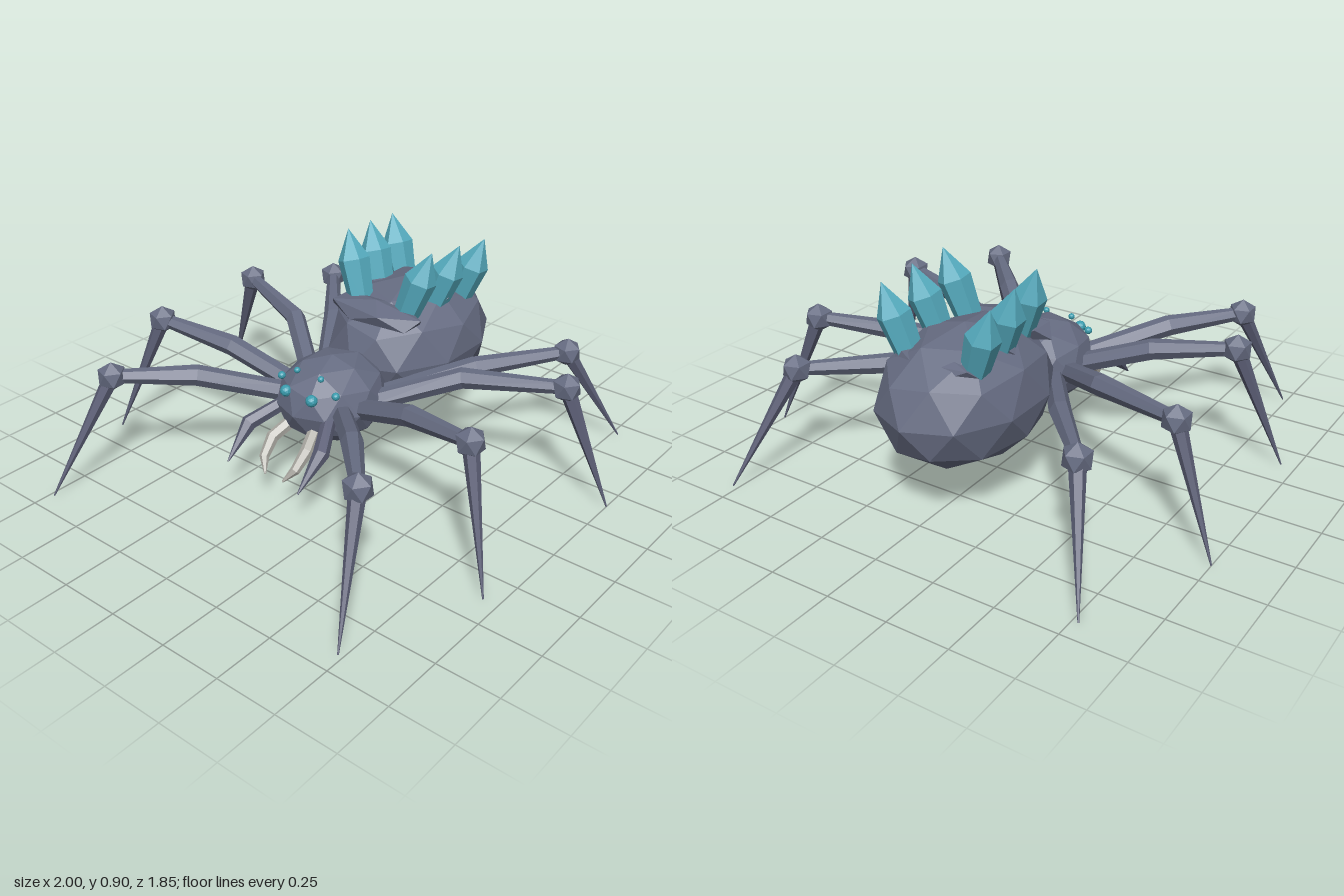
import * as THREE from 'three';

const mat = (name, color, flatShading = true) => {
  const m = new THREE.MeshStandardMaterial({ color, flatShading });
  m.name = name;
  return m;
};

// Faceted ball with a corner at the top and its equator points on the z axis
function facetBall(rx, ry, rz, detail) {
  const g = new THREE.IcosahedronGeometry(1, detail);
  g.rotateX(-Math.atan((1 + Math.sqrt(5)) / 2));
  g.rotateY(Math.PI / 2);
  g.scale(rx, ry, rz);
  g.computeVertexNormals();
  return g;
}

// Tapered limb through points [x, y, z, radius], closed at both ends
function limb(points, sides = 6) {
  const first = points[0], last = points[points.length - 1];
  const rings = [[...first.slice(0, 3), 0], ...points, [...last.slice(0, 3), 0]];
  const centres = points.map(p => new THREE.Vector3(p[0], p[1], p[2]));
  const span = centres[centres.length - 1].clone().sub(centres[0]).normalize();
  const ref = Math.abs(span.y) > 0.45 ? new THREE.Vector3(1, 0, 0) : new THREE.Vector3(0, 1, 0);
  const pos = [], index = [];
  rings.forEach((p, i) => {
    const k = Math.min(Math.max(i - 1, 0), centres.length - 1);
    const t = centres[Math.min(k + 1, centres.length - 1)].clone()
      .sub(centres[Math.max(k - 1, 0)]).normalize();
    const u = ref.clone().cross(t).normalize();
    const v = t.clone().cross(u);
    for (let j = 0; j < sides; j++) {
      const a = (j / sides) * Math.PI * 2;
      const q = centres[k].clone()
        .addScaledVector(u, Math.cos(a) * p[3]).addScaledVector(v, Math.sin(a) * p[3]);
      pos.push(q.x, q.y, q.z);
      if (i < rings.length - 1) {
        const n = (j + 1) % sides, r = i * sides;
        index.push(r + j, r + n, r + sides + j, r + n, r + sides + n, r + sides + j);
      }
    }
  });
  const g = new THREE.BufferGeometry();
  g.setAttribute('position', new THREE.Float32BufferAttribute(pos, 3));
  g.setIndex(index);
  g.computeVertexNormals();
  return g;
}

export function createModel() {
  const model = new THREE.Group();
  model.name = 'crystalSpider';
  const shell = mat('slateShell', 0x666c82);
  const claw = mat('darkSlate', 0x5c5f76);
  const crystal = mat('tealCrystal', 0x55abbe);
  const eye = mat('tealEye', 0x3a9cae);
  const bone = mat('paleFang', 0xb4b2ab);

  const add = (name, geometry, material, x = 0, y = 0, z = 0) => {
    const m = new THREE.Mesh(geometry, material);
    m.name = name;
    m.position.set(x, y, z);
    model.add(m);
    return m;
  };

  // Body
  add('head', facetBall(0.21, 0.175, 0.24, 1), shell, 0, 0.355, 0.07);
  add('abdomen', facetBall(0.3, 0.27, 0.4, 1), shell, 0, 0.43, -0.44);

  // Rocky back plates, mostly sunk in the abdomen
  [[0.615, -0.205, 0.25], [0.635, -0.42, 0.23], [0.6, -0.6, 0.22]].forEach(([y, z, rx]) =>
    add('backPlate', facetBall(rx, 0.052, 0.1, 0), shell, 0, y, z));

  // Crystal outline, base to tip
  const profile = [[0, 0], [0.05, 0], [0.066, 0.2], [0, 0.325]]
    .map(([r, h]) => new THREE.Vector2(r, h));
  const crystals = [
    [[0.105, 0.59, -0.25], [0.21, 0.9, -0.285]],
    [[0.12, 0.575, -0.41], [0.225, 0.88, -0.45]],
    [[0.13, 0.555, -0.58], [0.235, 0.86, -0.615]],
  ];

  // Legs: hip, bend, knee, foot
  const legs = [
    [[0.13, 0.36, 0.17], [0.39, 0.455, 0.43], [0.61, 0.475, 0.67], [0.73, 0, 0.92]],
    [[0.14, 0.35, 0.1], [0.45, 0.465, 0.17], [0.77, 0.515, 0.25], [0.94, 0, 0.38]],
    [[0.14, 0.35, 0.03], [0.43, 0.46, -0.2], [0.81, 0.49, -0.34], [1, 0, -0.4]],
    [[0.12, 0.34, -0.02], [0.37, 0.415, -0.38], [0.62, 0.445, -0.68], [0.775, 0, -0.92]],
  ];

  const fang = [[0.06, 0.29, 0.25, 0.026], [0.088, 0.245, 0.33, 0.026],
    [0.08, 0.185, 0.39, 0.02], [0.045, 0.137, 0.425, 0.004]];
  const feeler = [[0.11, 0.35, 0.22, 0.028], [0.185, 0.285, 0.36, 0.032], [0.18, 0.17, 0.49, 0.003]];
  const eyes = [[0.065, 0.432, 0.272, 0.024], [0.137, 0.452, 0.215, 0.016], [0.06, 0.498, 0.21, 0.013]];

  for (const [side, s] of [['left', 1], ['right', -1]]) {
    const flip = p => [p[0] * s, ...p.slice(1)];

    legs.forEach(joints => {
      const [hip, bend, knee, foot] = joints.map(flip);
      add(side + 'UpperLeg', limb([[...hip, 0.04], [...bend, 0.042], [...knee, 0.026]]), shell);
      add(side + 'Knee', facetBall(0.06, 0.06, 0.06, 0), shell, ...knee);
      add(side + 'LowerLeg', limb([[...knee, 0.033], [...foot, 0.003]]), claw);
    });

    crystals.forEach(([base, tip]) => {
      const a = new THREE.Vector3(...flip(base)), b = new THREE.Vector3(...flip(tip));
      const m = add(side + 'Crystal', new THREE.LatheGeometry(profile, 6), crystal, a.x, a.y, a.z);
      m.quaternion.setFromUnitVectors(new THREE.Vector3(0, 1, 0), b.sub(a).normalize());
    });

    add(side + 'Fang', limb(fang.map(flip)), bone);
    add(side + 'Feeler', limb(feeler.map(flip)), claw);
    eyes.forEach(([x, y, z, r]) =>
      add(side + 'Eye', new THREE.IcosahedronGeometry(r, 1), eye, x * s, y, z));
  }
  return model;
}
